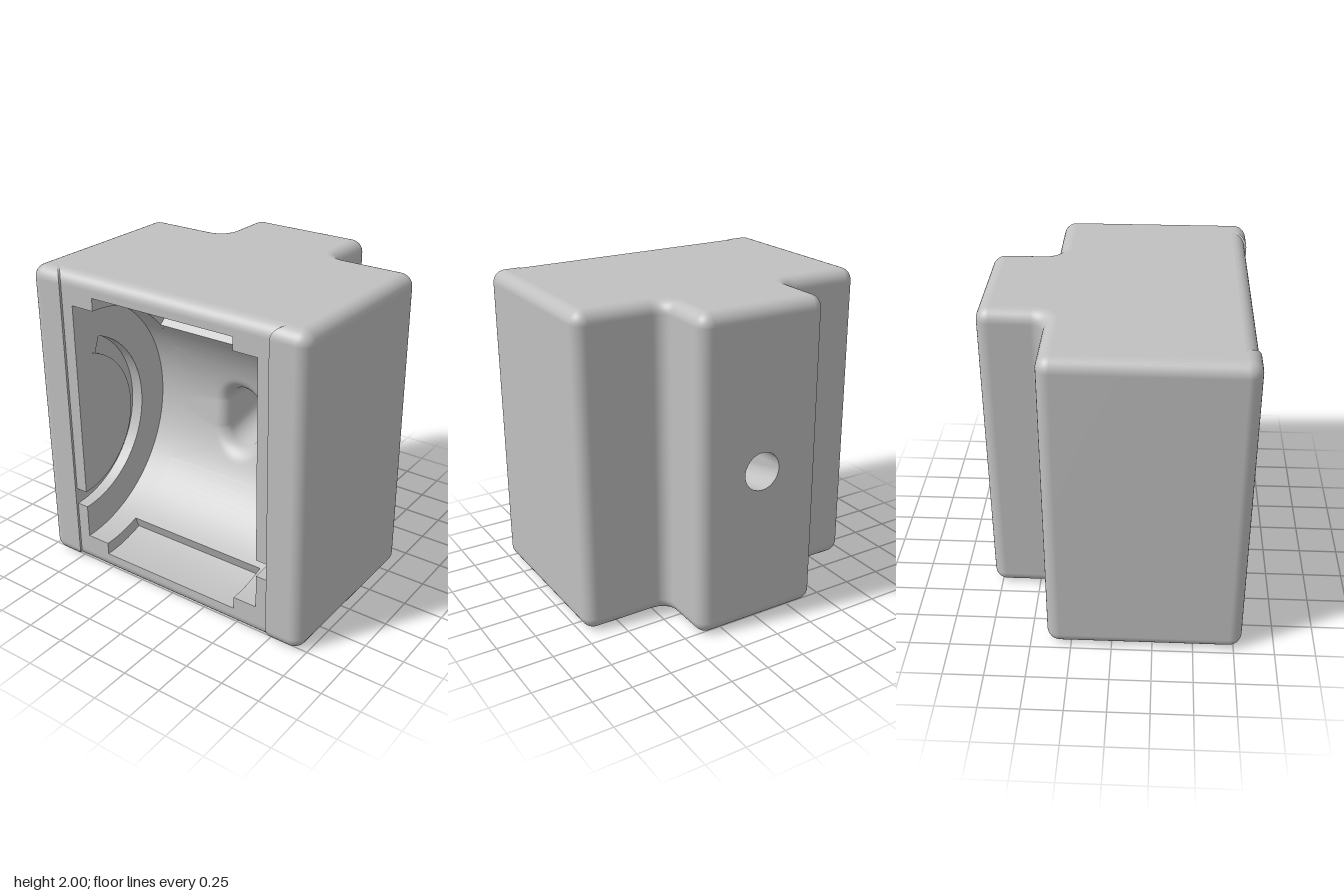
import * as THREE from 'three';

const R = 0.08;            // outer fillet radius
const ZC = 0.785;          // front plane of the housing and axis of the round cavity
const RC = 0.8, RS = 0.88; // cavity radius, clip slot radius
const G0 = 0.47, G1 = 0.58; // groove radii
const XW = 0.66, XG = 0.74, XS = 0.5; // cavity wall, groove floor, slot half width
const Q = Math.PI / 2;
const SLOT_TOP = 0.707, SLOT_LOW = -1.215, GROOVE_END = 1.21;
const HOLE_LOW = -0.6, HOLE_TOP = 0.45;

export function createModel() {
  const grey = new THREE.MeshStandardMaterial({ color: 0xc0c0c0, side: THREE.DoubleSide });
  grey.name = 'light grey';
  const model = new THREE.Group();
  model.name = 'housing';

  const add = (name, geo) => {
    const mesh = new THREE.Mesh(geo, grey);
    mesh.name = name;
    model.add(mesh);
    return mesh;
  };

  // Smooth patch through rows of points; skipped cells still shape the normals
  const patch = (name, rows, skip = () => false) => {
    const n = rows[0].length, all = [], kept = [];
    for (let j = 0; j < rows.length - 1; j++) {
      for (let i = 0; i < n - 1; i++) {
        const a = j * n + i, cell = [a, a + n, a + 1, a + 1, a + n, a + n + 1];
        all.push(...cell);
        if (!skip(i, j)) kept.push(...cell);
      }
    }
    const geo = new THREE.BufferGeometry();
    geo.setAttribute('position', new THREE.Float32BufferAttribute(rows.flat(2), 3));
    geo.setIndex(all);
    geo.computeVertexNormals();
    geo.setIndex(kept);
    return add(name, geo);
  };
  const grid = (name, nu, nv, fn) => patch(name,
    Array.from({ length: nv + 1 }, (_, j) =>
      Array.from({ length: nu + 1 }, (_, i) => fn(i / nu, j / nv))));

  // ---- Outer shell: T-shaped plan, inset by d along the top and bottom fillets
  const SEG = 8;
  const halfPlan = (d) => {
    const pts = [[XG + d, 0.8 - d]];
    const corner = (cx, cz, from, to, r) => {
      for (let i = 0; i <= SEG; i++) {
        const a = from + (to - from) * i / SEG;
        pts.push([cx + r * Math.cos(a), cz + r * Math.sin(a)]);
      }
    };
    corner(0.895, 0.72, Q, 0, R - d);
    corner(0.895, -0.32, 0, -Q, R - d);
    corner(0.5, -0.48, Q, 2 * Q, R + d);
    corner(0.34, -0.72, 0, -Q, R - d);
    return pts;
  };
  const plan = (d) => {
    const h = halfPlan(d);
    return [...h, ...h.map(([x, z]) => [-x, z]).reverse()];
  };
  const levels = [];
  for (let i = 0; i <= SEG; i++) {
    const a = Q * (1 - i / SEG);
    levels.push([R * (1 - Math.cos(a)), R * (1 - Math.sin(a))]);
  }
  for (const [d, y] of [...levels].reverse()) levels.push([d, 2 - y]);

  const backCell = halfPlan(0).length - 1;
  patch('outerShell',
    levels.map(([d, y]) => plan(d).map(([x, z]) => [x, y, z])),
    (i, j) => i === backCell && j === SEG);
  patch('frontEdgeFillets',
    levels.map(([d, y]) => [[-XG - d, y, ZC - d], [XG + d, y, ZC - d]]),
    (i, j) => j === SEG);
  for (const s of [1, -1]) {
    patch('frontStripStep',
      levels.map(([d, y]) => [[s * (XG + d), y, ZC - d], [s * (XG + d), y, 0.8 - d]]));
  }

  // Top and bottom caps
  const capPoints = [...plan(R), [-XG - R, ZC - R], [XG + R, ZC - R]]
    .filter(([x, z], i, all) => !i || Math.hypot(x - all[i - 1][0], z - all[i - 1][1]) > 1e-5);
  for (const [name, y, s] of [['topCap', 2, -1], ['bottomCap', 0, 1]]) {
    const geo = new THREE.ShapeGeometry(
      new THREE.Shape(capPoints.map(([x, z]) => new THREE.Vector2(x, s * z))));
    add(name, geo.rotateX(s * Q).translate(0, y, 0));
  }

  // Back face with the screw hole
  const back = new THREE.Shape([[-0.34, 0.08], [0.34, 0.08], [0.34, 1.92], [-0.34, 1.92]]
    .map(([x, y]) => new THREE.Vector2(x, y)));
  const round = new THREE.Path();
  round.absarc(0, 1, 0.12, 0, 4 * Q, true);
  back.holes.push(round);
  add('backFace', new THREE.ShapeGeometry(back, 32).rotateY(Math.PI).translate(0, 0, -0.8));

  // Front frame around the opening
  const rect = (x0, x1, y0, y1) => add('frontFrame',
    new THREE.PlaneGeometry(x1 - x0, y1 - y0).translate((x0 + x1) / 2, (y0 + y1) / 2, ZC));
  rect(-XG, XG, R, 1 - RS);
  rect(-XG, XG, 1 + RS, 2 - R);
  for (const s of [1, -1]) {
    const side = (a, b, y0, y1) => rect(Math.min(s * a, s * b), Math.max(s * a, s * b), y0, y1);
    side(XS, XG, 1 - RS, 1 - RC);
    side(XS, XG, 1 + RC, 1 + RS);
    side(XW, XG, 1 - RC, 1 - G1);
    side(XW, XG, 1 - G0, 1 + RC);
  }

  // ---- Cavity: pieces in polar form about the x axis, angle 0 to the back, +90 degrees up
  const polar = (x, r, a) => [x, 1 + r * Math.sin(a), ZC - r * Math.cos(a)];
  const mix = THREE.MathUtils.lerp;
  const arcSteps = (a0, a1) => Math.max(4, Math.ceil(Math.abs(a1 - a0) * 20));
  const curved = (name, r, a0, a1, x0, x1) =>
    grid(name, 1, arcSteps(a0, a1), (u, v) => polar(mix(x0, x1, u), r, mix(a0, a1, v)));
  const sector = (name, x, r0, r1, a0, a1) =>
    grid(name, 1, arcSteps(a0, a1), (u, v) => polar(x, mix(r0, r1, u), mix(a0, a1, v)));
  const radial = (name, a, r0, r1, x0, x1) =>
    grid(name, 1, 1, (u, v) => polar(mix(x0, x1, u), mix(r0, r1, v), a));

  for (const s of [1, -1]) {
    curved('cavityWall', RC, -Q, Q, s * XS, s * XW);
    // Side wall with an arc groove open at the front
    sector('cavitySide', s * XW, G1, RC, -Q, Q);
    sector('cavitySide', s * XW, 0, G0, -Q, Q);
    sector('cavitySide', s * XW, G0, G1, GROOVE_END, Q);
    sector('grooveFloor', s * XG, G0, G1, -Q, GROOVE_END);
    curved('grooveOuterWall', G1, -Q, GROOVE_END, s * XW, s * XG);
    curved('grooveInnerWall', G0, -Q, GROOVE_END, s * XW, s * XG);
    radial('grooveEnd', GROOVE_END, G0, G1, s * XW, s * XG);
    sector('slotSide', s * XS, RC, RS, SLOT_TOP, Q);
    sector('slotSide', s * XS, RC, RS, -Q, SLOT_LOW);
  }
  curved('topSlot', RS, SLOT_TOP, Q, -XS, XS);
  curved('bottomSlot', RS, -Q, SLOT_LOW, -XS, XS);
  radial('topSlotEnd', SLOT_TOP, RC, RS, -XS, XS);
  radial('bottomSlotEnd', SLOT_LOW, RC, RS, -XS, XS);
  curved('cavityBack', RC, HOLE_TOP, SLOT_TOP, -XS, XS);
  curved('cavityBack', RC, SLOT_LOW, HOLE_LOW, -XS, XS);

  // Screw hole: round at the back, oblong and filleted where it meets the cavity
  const N = 64;
  const ring = (fn) => Array.from({ length: N + 1 }, (_, i) => {
    const a = 4 * Q * i / N;
    return fn(Math.cos(a), Math.sin(a));
  });
  const oblong = (c, s, r, low) => [r * c, (s > -1e-6 ? 1 : low) + r * s];
  const wallZ = (y) => ZC - Math.sqrt(RC * RC - (y - 1) ** 2);
  const rows = [ring((c, s) => [...oblong(c, s, 0.12, 1), -0.8])];
  for (let i = 0; i <= 7; i++) {
    const a = Q * i / 7;
    rows.push(ring((c, s) => {
      const [x, y] = oblong(c, s, 0.12 + R * (1 - Math.cos(a)), 0.84);
      return [x, y, wallZ(y) - R * (1 - Math.sin(a))];
    }));
  }
  for (let k = 1; k <= 8; k++) {
    rows.push(ring((c, s) => {
      const [x, y] = oblong(c, s, 0.12 + R, 0.84);
      const q = Math.max(Math.abs(c), Math.abs(s));
      const edge = mix(HOLE_LOW, HOLE_TOP, (1 + s / q) / 2);
      return polar(mix(x, XS * c / q, k / 8), RC, mix(Math.asin((y - 1) / RC), edge, k / 8));
    }));
  }
  patch('screwHole', rows);

  return model;
}
